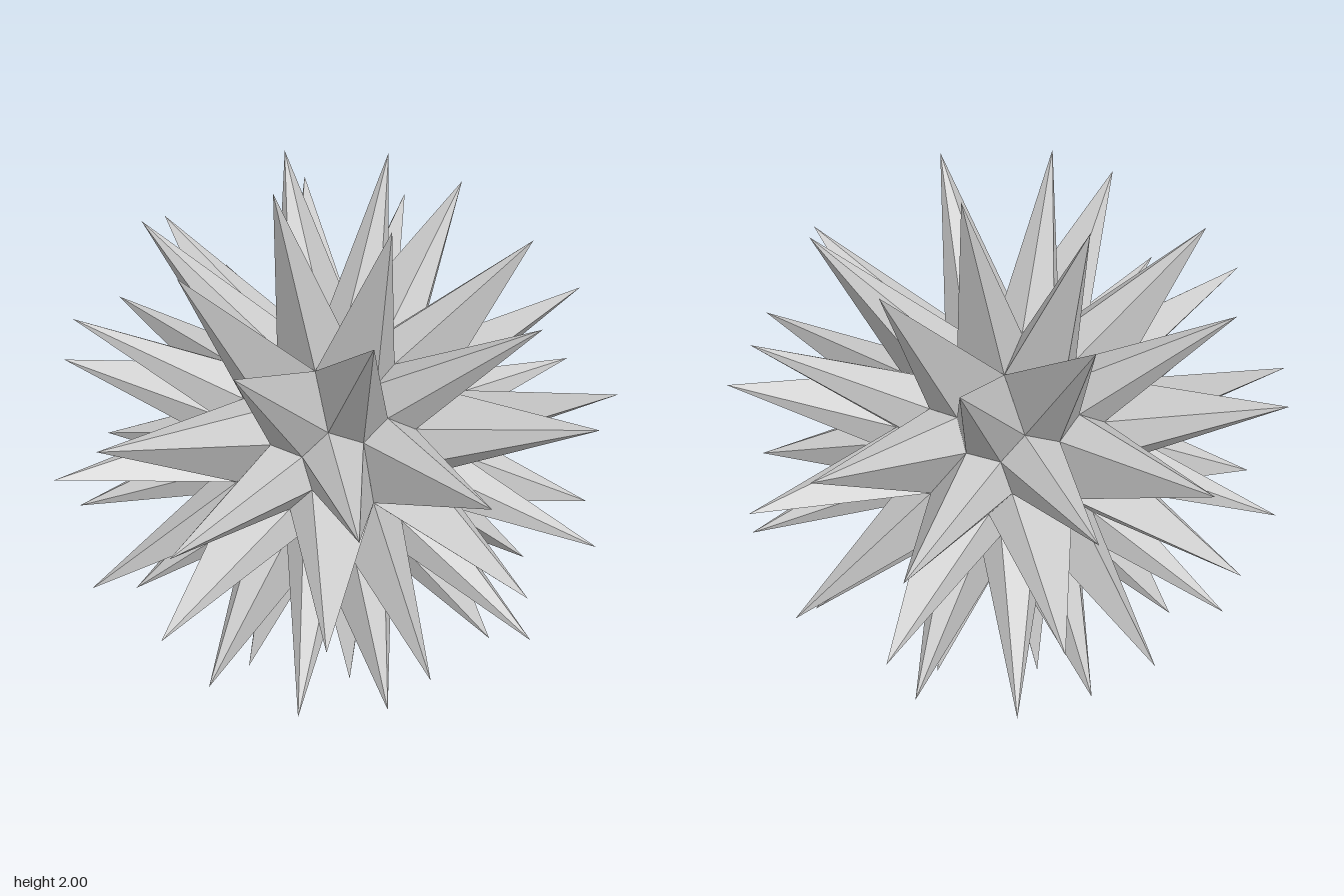
import * as THREE from 'three';

// One leaning five-sided spike, repeated by the 60 rotations of the icosahedron.
const tip = new THREE.Vector3(0.2406, -0.13, 1);
const base = [
  [0.244, 0, 0.395], // on the five-fold axis
  [0.04, 0.047, 0.439],
  [-0.04, -0.047, 0.439],
  [0, -0.158, 0.414], // on the three-fold axis
].map((p) => new THREE.Vector3(...p));

const axis5 = new THREE.Vector3(1, 0, (1 + Math.sqrt(5)) / 2).normalize();
const turn5 = (v, k) => v.clone().applyAxisAngle(axis5, (k * Math.PI * 2) / 5);
base.push(turn5(base[1], 1));

// The 12 rotations of the tetrahedron: cyclic axis swaps and paired sign flips
const signs = [[1, 1, 1], [1, -1, -1], [-1, 1, -1], [-1, -1, 1]];
function turn12(v, shift, s) {
  const a = v.toArray();
  return [0, 1, 2].map((i) => s[i] * a[(i + shift) % 3]);
}

export function createModel() {
  const positions = [];
  for (const s of signs) {
    for (let shift = 0; shift < 3; shift++) {
      for (let k = 0; k < 5; k++) {
        const place = (v) => turn12(turn5(v, k), shift, s);
        const apex = place(tip);
        const ring = base.map(place);
        ring.forEach((p, i) => positions.push(...apex, ...p, ...ring[(i + 1) % 5]));
      }
    }
  }

  const geometry = new THREE.BufferGeometry();
  geometry.setAttribute('position', new THREE.Float32BufferAttribute(positions, 3));
  geometry.computeVertexNormals();

  const spikes = new THREE.Mesh(
    geometry,
    new THREE.MeshStandardMaterial({ color: 0xcccccc, flatShading: true })
  );
  spikes.name = 'spikedStar';
  spikes.position.y = 1;

  const group = new THREE.Group();
  group.name = 'starPolyhedron';
  group.add(spikes);
  return group;
}
